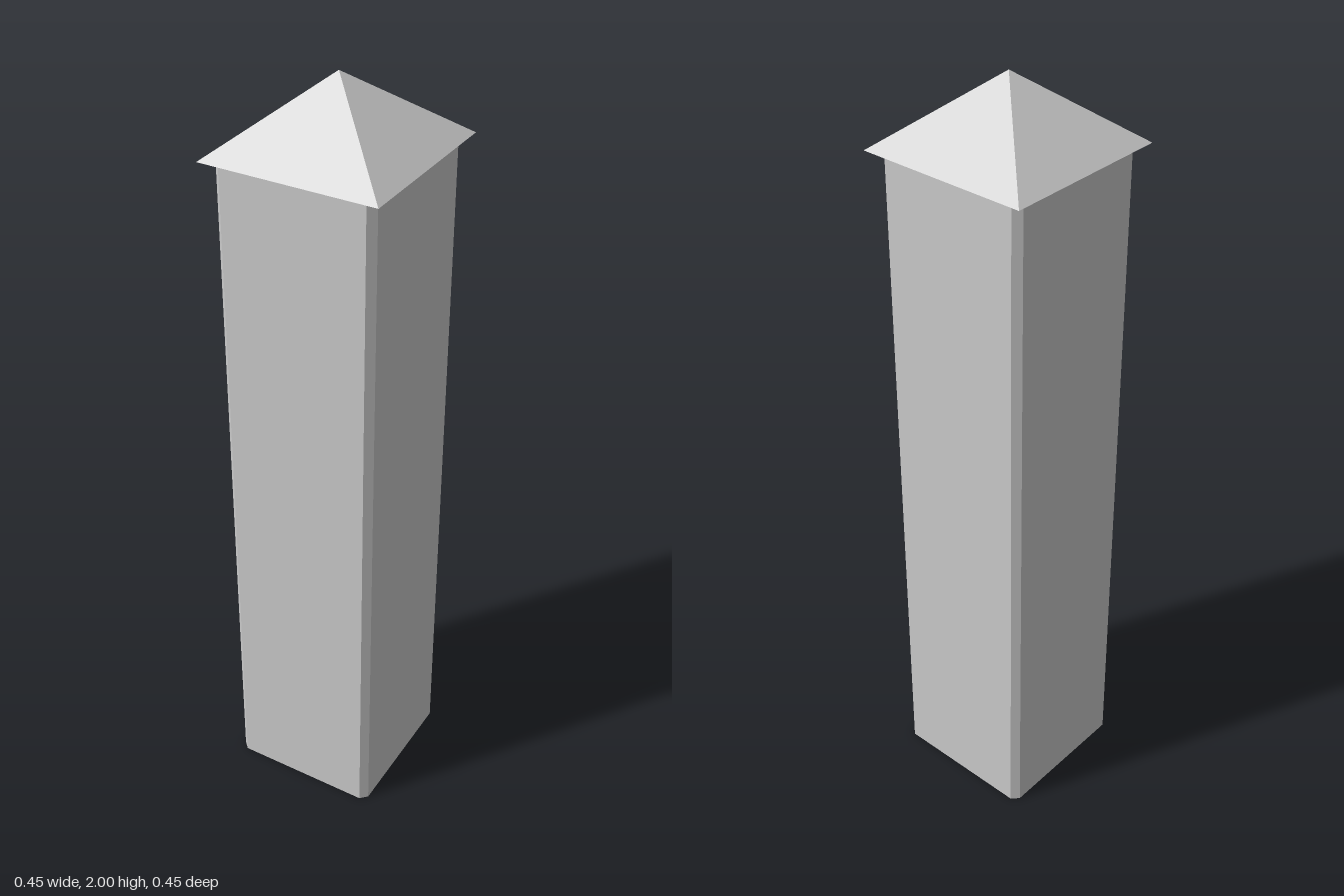
import * as THREE from 'three';

const HALF = 0.204;    // half width of the shaft
const INNER = 0.186;   // half width of a flat face between chamfers
const EAVE = 0.227;    // half width of the roof
const EAVE_Y = 1.823;
const TOP_Y = 2;

// Open tube through a closed outline of [x, z] points
function openPrism(outline, y0, y1) {
  const positions = [];
  const index = [];
  const n = outline.length;
  outline.forEach(([x, z], i) => {
    positions.push(x, y0, z, x, y1, z);
    const a = 2 * i, b = 2 * ((i + 1) % n);
    index.push(a, b, b + 1, a, b + 1, a + 1);
  });
  const geometry = new THREE.BufferGeometry();
  geometry.setAttribute('position', new THREE.Float32BufferAttribute(positions, 3));
  geometry.setIndex(index);
  const flat = geometry.toNonIndexed();
  flat.computeVertexNormals();
  return flat;
}

export function createModel() {
  const model = new THREE.Group();
  model.name = 'pillar';
  const material = new THREE.MeshStandardMaterial({
    color: 0xcccccc, flatShading: true, side: THREE.DoubleSide,
  });

  // Square shaft with chamfered corners, open at the bottom
  const outline = [];
  for (let i = 0; i < 4; i++) {
    const c = Math.round(Math.cos(i * Math.PI / 2));
    const s = Math.round(Math.sin(i * Math.PI / 2));
    for (const [u, v] of [[-INNER, HALF], [INNER, HALF]]) {
      outline.push([u * c + v * s, v * c - u * s]);
    }
  }
  const shaft = new THREE.Mesh(openPrism(outline, 0, EAVE_Y), material);
  shaft.name = 'shaft';
  model.add(shaft);

  // Pyramid roof with a flat underside
  const height = TOP_Y - EAVE_Y;
  const roofGeometry = new THREE.ConeGeometry(EAVE * Math.SQRT2, height, 4);
  roofGeometry.rotateY(Math.PI / 4);
  const roof = new THREE.Mesh(roofGeometry, material);
  roof.name = 'roof';
  roof.position.y = EAVE_Y + height / 2;
  model.add(roof);

  return model;
}
